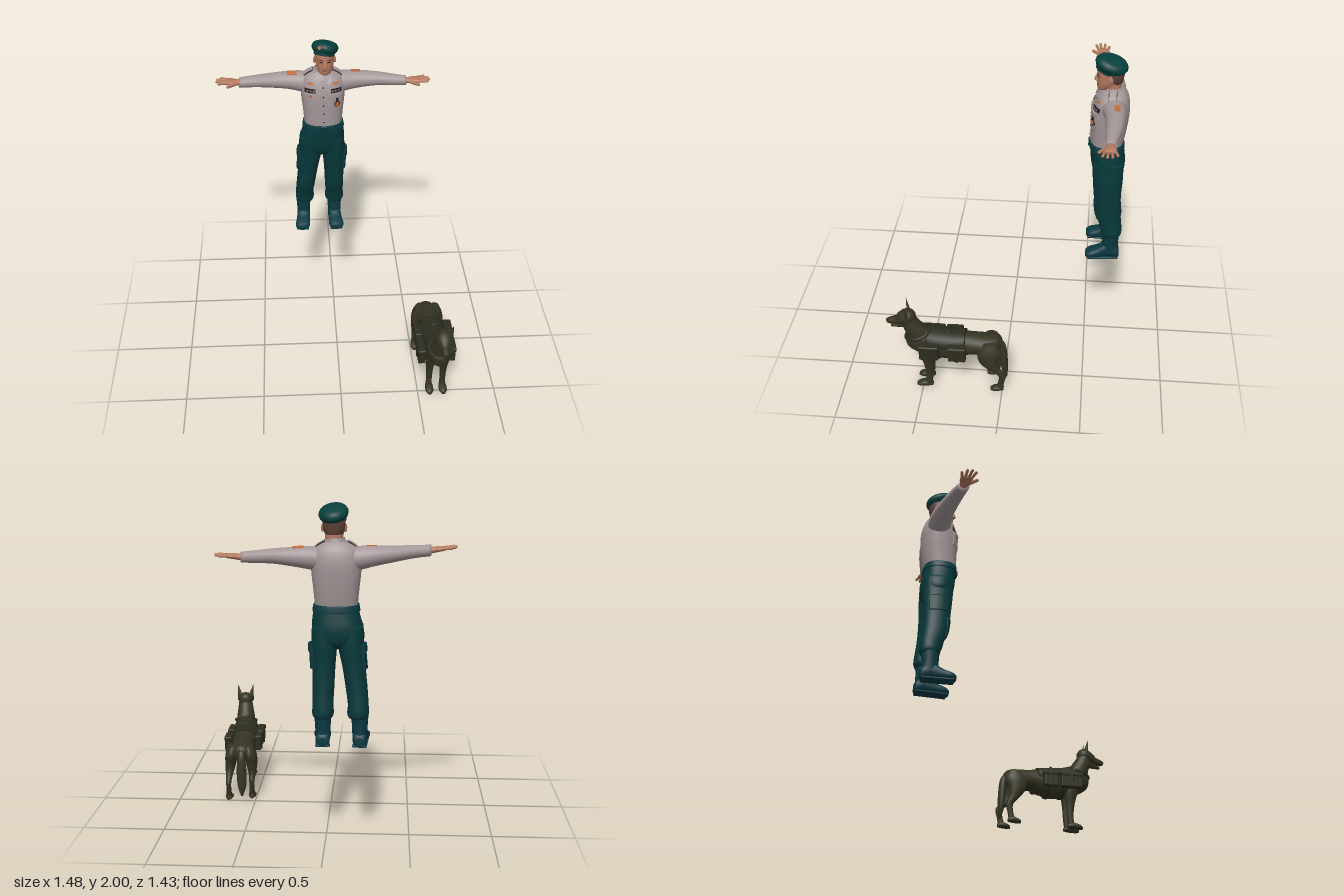
import * as THREE from 'three';
import { RoundedBoxGeometry } from 'three/addons/geometries/RoundedBoxGeometry.js';

const mat = (name, color, side = THREE.FrontSide) => new THREE.MeshStandardMaterial({ name, color, side });
const M = {
  skin: mat('skin', 0xb47a60), shirt: mat('shirt', 0xa39697, THREE.DoubleSide), trousers: mat('trousers', 0x07383a),
  beret: mat('beret', 0x07403d), boots: mat('boots', 0x0b3a42), hair: mat('hair', 0x5a4238),
  orange: mat('orange', 0xc46c3a), dark: mat('dark', 0x2b2426), coat: mat('coat', 0x353422), harness: mat('harness', 0x2d2d20),
};

// Smooth closed body through cross-sections [x, y, z, a, b] stacked along one axis; p is the superellipse power
function loft(rings, axis, p = 2, n = 28, sub = 5) {
  const spline = (a, b, c, d, t) =>
    0.5 * (2 * b + (c - a) * t + (2 * a - 5 * b + 4 * c - d) * t * t + (3 * b - a - 3 * c + d) * t * t * t);
  const rows = [], last = rings.length - 1, pos = [], idx = [];
  for (let i = 0; i < last; i++) {
    const q = [rings[Math.max(i - 1, 0)], rings[i], rings[i + 1], rings[Math.min(i + 2, last)]];
    for (let k = 0; k < sub; k++) rows.push(rings[i].map((_, c) => spline(q[0][c], q[1][c], q[2][c], q[3][c], k / sub)));
  }
  rows.push(rings[last]);
  const pow = (v) => Math.sign(v) * Math.abs(v) ** (2 / p);
  for (const [x, y, z, a, b] of rows)
    for (let j = 0; j < n; j++) {
      const t = (j / n) * Math.PI * 2;
      const u = pow(Math.cos(t)) * Math.max(a, 0.001), v = pow(Math.sin(t)) * Math.max(b, 0.001);
      if (axis === 'y') pos.push(x + u, y, z - v);
      else if (axis === 'z') pos.push(x + u, y + v, z);
      else pos.push(x, y + u, z + v);
    }
  const k = 'xyz'.indexOf(axis), up = rings[last][k] > rings[0][k];
  const tri = (a, b, c) => (up ? idx.push(a, b, c) : idx.push(a, c, b));
  const top = rows.length * n + 1, start = top - 1, end = (rows.length - 1) * n;
  pos.push(...rows[0].slice(0, 3), ...rows[rows.length - 1].slice(0, 3));
  for (let j = 0; j < n; j++) {
    const m = (j + 1) % n;
    for (let i = 0; i < end; i += n) {
      tri(i + j, i + m, i + n + j);
      tri(i + m, i + n + m, i + n + j);
    }
    tri(start, m, j);
    tri(top, end + j, end + m);
  }
  const g = new THREE.BufferGeometry();
  g.setAttribute('position', new THREE.Float32BufferAttribute(pos, 3));
  g.setIndex(idx);
  g.computeVertexNormals();
  return g;
}

function add(group, name, geo, material) {
  const mesh = new THREE.Mesh(geo, material);
  mesh.name = name;
  group.add(mesh);
  return mesh;
}

// Lays a flat piece (facing local +z) onto a body, seen from direction dir
function drape(group, name, target, geo, material, at, dir = [0, 0, 1]) {
  if (dir[1]) geo.rotateX(-Math.PI / 2);
  if (dir[0]) geo.rotateY((dir[0] * Math.PI) / 2);
  geo.translate(...at);
  const d = new THREE.Vector3(...dir), o = new THREE.Vector3(...at), v = new THREE.Vector3();
  const ray = new THREE.Raycaster(), p = geo.attributes.position;
  for (let i = 0; i < p.count; i++) {
    v.fromBufferAttribute(p, i);
    const w = v.clone().sub(o).dot(d);
    ray.set(v.clone().addScaledVector(d, 2), d.clone().negate());
    const hit = ray.intersectObject(target)[0];
    if (hit) v.copy(hit.point).addScaledVector(d, w);
    p.setXYZ(i, v.x, v.y, v.z);
  }
  geo.computeVertexNormals();
  return add(group, name, geo, material);
}
const slab = (w, h, d = 0.009) => new THREE.BoxGeometry(w, h, d, 6, 6, 1);
const disc = (r, d = 0.009) => new THREE.CylinderGeometry(r, r, d, 16).rotateX(Math.PI / 2);

// Rounded rod between two points
function rod(group, name, a, b, r, material) {
  const A = new THREE.Vector3(...a), B = new THREE.Vector3(...b);
  const mesh = add(group, name, new THREE.CapsuleGeometry(r, A.distanceTo(B), 5, 10), material);
  mesh.position.copy(A).add(B).multiplyScalar(0.5);
  mesh.quaternion.setFromUnitVectors(new THREE.Vector3(0, 1, 0), B.sub(A).normalize());
}

function hand(group, s, [x, y, z], rise, drift) {
  const at = (dx, dy, dz) => [x + s * dx, y + dy + (rise * dx) / 0.16, z + dz + (drift * dx) / 0.16];
  add(group, 'palm', loft([
    [...at(-0.02, 0, 0), 0.02, 0.024], [...at(0.02, 0, 0), 0.018, 0.026],
    [...at(0.055, 0, 0), 0.016, 0.037], [...at(0.085, -0.002, 0), 0.012, 0.036], [...at(0.093, -0.002, 0), 0.004, 0.025]], 'x'), M.skin);
  [[-0.028, 0.122], [-0.01, 0.146], [0.009, 0.15], [0.027, 0.137]].forEach(([dz, len]) =>
    rod(group, 'finger', at(0.075, 0, dz), at(len, -0.003, dz * 1.5), 0.0085, M.skin));
  rod(group, 'thumb', at(0.025, -0.003, 0.018), at(0.08, -0.008, 0.062), 0.01, M.skin);
}

function buildOfficer() {
  const g = new THREE.Group();
  g.name = 'officer';
  const cx = -0.063, hx = -0.05;
  // Shirt
  const torso = add(g, 'shirtBody', loft([
    [cx, 1.42, -0.58, 0.122, 0.098], [cx, 1.5, -0.587, 0.128, 0.106], [cx, 1.6, -0.593, 0.139, 0.112], [cx, 1.68, -0.598, 0.143, 0.11],
    [cx, 1.74, -0.602, 0.135, 0.094], [cx, 1.775, -0.602, 0.1, 0.074], [cx, 1.795, -0.6, 0.06, 0.058]], 'y', 2.4, 40), M.shirt);
  const leftSleeve = add(g, 'leftSleeve', loft([
    [-0.02, 1.695, -0.605, 0.07, 0.07], [0.06, 1.7, -0.612, 0.068, 0.07], [0.16, 1.707, -0.62, 0.057, 0.061],
    [0.29, 1.71, -0.614, 0.043, 0.05], [0.38, 1.705, -0.605, 0.037, 0.041], [0.475, 1.7, -0.595, 0.031, 0.031]], 'x'), M.shirt);
  const rightSleeve = add(g, 'rightSleeve', loft([
    [-0.11, 1.695, -0.605, 0.07, 0.07], [-0.19, 1.702, -0.612, 0.068, 0.072], [-0.28, 1.714, -0.612, 0.057, 0.064],
    [-0.4, 1.725, -0.59, 0.045, 0.054], [-0.5, 1.734, -0.565, 0.037, 0.045], [-0.595, 1.738, -0.541, 0.032, 0.036]], 'x'), M.shirt);
  drape(g, 'sleevePatch', leftSleeve, slab(0.06, 0.035), M.orange, [0.15, 1.75, -0.628], [0, 1, 0]);
  drape(g, 'sleevePatch', rightSleeve, slab(0.058, 0.038), M.orange, [-0.26, 1.75, -0.6], [0, 1, 0]);
  hand(g, 1, [0.47, 1.7, -0.595], 0.016, 0.005);
  hand(g, -1, [-0.585, 1.738, -0.543], 0.025, 0.012);
  const collar = add(g, 'collar', new THREE.CylinderGeometry(0.054, 0.068, 0.045, 28, 1, true, 0.4, Math.PI * 2 - 0.8), M.shirt);
  collar.position.set(cx + 0.006, 1.792, -0.595);
  drape(g, 'placket', torso, slab(0.026, 0.31, 0.008), M.shirt, [cx, 1.595, -0.5]);
  for (let i = 0; i < 5; i++) drape(g, 'button', torso, disc(0.005, 0.014), M.dark, [cx, 1.47 + i * 0.06, -0.5]);
  for (const s of [-1, 1]) {
    const px = cx + s * 0.08;
    drape(g, 'chestPocket', torso, slab(0.075, 0.085, 0.014), M.shirt, [px, 1.615, -0.5]);
    drape(g, 'pocketFlap', torso, slab(0.08, 0.03, 0.022), M.shirt, [px, 1.65, -0.5]);
    drape(g, 'ribbonBar', torso, slab(0.07, 0.026, 0.009), M.dark, [px + s * 0.004, 1.687, -0.5]);
    for (const r of [-1, 0, 1]) drape(g, 'ribbonStripe', torso, slab(0.01, 0.006, 0.014), M.shirt, [px + r * 0.02, 1.687, -0.5]);
    drape(g, 'nameTag', torso, slab(0.038, 0.012), M.orange, [px, 1.732, -0.5]);
    drape(g, 'epauletteTrim', torso, slab(0.064, 0.05, 0.014), M.dark, [cx + s * 0.095, 1.77, -0.6], [0, 1, 0]);
    drape(g, 'epaulette', torso, slab(0.058, 0.043, 0.022), M.shirt, [cx + s * 0.095, 1.77, -0.6], [0, 1, 0]);
    const lapel = new THREE.Shape([[0, 0.03], [s * 0.05, 0.03], [s * 0.055, -0.005], [s * 0.03, -0.025]].map((q) => new THREE.Vector2(...q)));
    drape(g, 'lapel', torso, new THREE.ExtrudeGeometry(lapel, { depth: 0.01, bevelEnabled: false }), M.shirt, [cx, 1.757, -0.5]);
  }
  drape(g, 'medalRibbon', torso, slab(0.016, 0.03, 0.026), M.dark, [0.025, 1.625, -0.5]);
  drape(g, 'medal', torso, disc(0.019, 0.028), M.dark, [0.025, 1.597, -0.5]);
  drape(g, 'medalFace', torso, disc(0.014, 0.034), M.orange, [0.025, 1.597, -0.5]);
  drape(g, 'smallMedal', torso, disc(0.009, 0.028), M.orange, [-0.145, 1.655, -0.5]);

  // Head
  add(g, 'neck', loft([[hx, 1.73, -0.6, 0.056, 0.056], [hx, 1.78, -0.597, 0.05, 0.052], [hx, 1.85, -0.592, 0.05, 0.055]], 'y'), M.skin);
  const head = add(g, 'head', loft([
    [hx, 1.785, -0.54, 0.018, 0.02], [hx, 1.797, -0.55, 0.037, 0.043], [hx, 1.83, -0.567, 0.053, 0.063], [hx, 1.87, -0.58, 0.06, 0.076],
    [hx, 1.91, -0.583, 0.062, 0.079], [hx, 1.95, -0.583, 0.056, 0.07], [hx, 1.975, -0.583, 0.03, 0.04]], 'y', 2.2), M.skin);
  add(g, 'hair', loft([[hx, 1.835, -0.612, 0.044, 0.042], [hx, 1.86, -0.606, 0.06, 0.054], [hx, 1.9, -0.602, 0.064, 0.062],
    [hx, 1.94, -0.602, 0.06, 0.058]], 'y'), M.hair);
  add(g, 'nose', loft([[hx, 1.885, -0.508, 0.008, 0.008], [hx, 1.86, -0.502, 0.01, 0.014], [hx, 1.848, -0.501, 0.015, 0.014],
    [hx, 1.842, -0.505, 0.008, 0.008]], 'y', 2, 12), M.skin);
  drape(g, 'mouth', head, slab(0.042, 0.005, 0.004), M.hair, [hx, 1.825, -0.5]);
  for (const s of [-1, 1]) {
    drape(g, 'eye', head, slab(0.018, 0.007, 0.004), M.dark, [hx + s * 0.026, 1.88, -0.5]);
    drape(g, 'eyebrow', head, slab(0.026, 0.005, 0.008), M.hair, [hx + s * 0.027, 1.895, -0.5]);
    const ear = add(g, 'ear', new THREE.SphereGeometry(1, 14, 10), M.skin);
    ear.scale.set(0.008, 0.024, 0.015);
    ear.position.set(hx + s * 0.064, 1.867, -0.585);
    ear.rotation.y = s * 0.4;
  }
  // Beret, tipped back and to one side
  const beret = new THREE.Group();
  beret.name = 'beret';
  beret.position.set(-0.047, 1.948, -0.585);
  beret.rotation.set(0.3, 0, -0.14);
  add(beret, 'beretCrown', loft([[0, -0.032, 0, 0.066, 0.082], [0, -0.018, 0, 0.078, 0.094], [0, 0.005, 0, 0.085, 0.1],
    [0, 0.03, 0, 0.07, 0.084], [0, 0.042, 0, 0.035, 0.045]], 'y'), M.beret);
  add(beret, 'beretBand', loft([[0, -0.045, 0.002, 0.066, 0.081], [0, -0.02, 0.002, 0.067, 0.083]], 'y'), M.beret);
  // front edge lifted
  beret.rotation.x = -0.3;
  const badge = add(beret, 'beretBadge', disc(0.011, 0.008), M.orange);
  badge.position.set(-0.038, 0.004, 0.09);
  badge.rotation.y = -0.4;
  g.add(beret);

  // Trousers, belt and boots
  add(g, 'trouserSeat', loft([[cx, 1.44, -0.58, 0.123, 0.099], [cx, 1.38, -0.586, 0.134, 0.103], [cx - 0.008, 1.3, -0.595, 0.148, 0.105],
    [cx - 0.012, 1.23, -0.6, 0.145, 0.092], [cx - 0.014, 1.19, -0.6, 0.09, 0.06]], 'y', 2.4, 40), M.trousers);
  add(g, 'belt', loft([[cx, 1.398, -0.583, 0.134, 0.106], [cx, 1.402, -0.583, 0.137, 0.108], [cx, 1.434, -0.581, 0.131, 0.106],
    [cx, 1.438, -0.581, 0.127, 0.102]], 'y', 2.4, 40), M.boots);
  const buckle = add(g, 'buckle', new RoundedBoxGeometry(0.05, 0.036, 0.012, 2, 0.004), M.trousers);
  buckle.position.set(cx, 1.418, -0.475);
  for (const [s, hip, knee, foot] of [[1, 0.006, 0.01, 0.012], [-1, -0.148, -0.182, -0.202]]) {
    const mid = (hip + knee) / 2, low = (knee + foot) / 2;
    const leg = add(g, 'trouserLeg', loft([[hip, 1.32, -0.595, 0.07, 0.095], [hip, 1.2, -0.6, 0.074, 0.093], [mid, 1.08, -0.603, 0.067, 0.085],
      [knee, 0.95, -0.613, 0.063, 0.08], [low, 0.86, -0.634, 0.06, 0.069], [low, 0.81, -0.641, 0.063, 0.065],
      [low, 0.785, -0.641, 0.055, 0.058], [low, 0.775, -0.64, 0.04, 0.045]], 'y', 2.2), M.trousers);
    drape(g, 'cargoPocket', leg, slab(0.105, 0.13, 0.026), M.trousers, [mid, 1.135, -0.605], [s, 0, 0]);
    drape(g, 'cargoFlap', leg, slab(0.112, 0.04, 0.038), M.trousers, [mid, 1.19, -0.605], [s, 0, 0]);
    drape(g, 'kneePatch', leg, slab(0.08, 0.12, 0.01), M.trousers, [knee, 0.97, -0.55]);
    add(g, 'bootShaft', loft([[foot, 0.8, -0.64, 0.05, 0.054], [foot, 0.72, -0.638, 0.045, 0.052], [foot, 0.65, -0.64, 0.042, 0.054]], 'y'), M.boots);
    add(g, 'bootFoot', loft([[foot, 0.645, -0.698, 0.026, 0.026], [foot, 0.658, -0.68, 0.04, 0.04], [foot, 0.67, -0.62, 0.043, 0.052],
      [foot + s * 0.005, 0.652, -0.56, 0.047, 0.036], [foot + s * 0.01, 0.642, -0.51, 0.049, 0.027],
      [foot + s * 0.012, 0.637, -0.483, 0.03, 0.018]], 'z', 2.4), M.boots);
    const sole = add(g, 'bootSole', new RoundedBoxGeometry(0.084, 0.014, 0.2, 2, 0.006), M.boots);
    sole.position.set(foot + s * 0.005, 0.619, -0.592);
    sole.rotation.y = s * 0.06;
  }
  return g;
}

function buildDog() {
  const g = new THREE.Group();
  g.name = 'dog';
  const hx = 0.633;
  const body = [[0.59, 0.32, 0.008, 0.025, 0.025], [0.593, 0.315, 0.035, 0.058, 0.055], [0.597, 0.313, 0.1, 0.077, 0.065], [0.6, 0.315, 0.2, 0.073, 0.073],
    [0.605, 0.304, 0.3, 0.08, 0.096], [0.61, 0.312, 0.4, 0.082, 0.101], [0.616, 0.333, 0.48, 0.077, 0.1],
    [0.62, 0.345, 0.55, 0.062, 0.082], [0.622, 0.345, 0.588, 0.04, 0.052], [0.622, 0.345, 0.602, 0.015, 0.02]];
  add(g, 'body', loft(body, 'z'), M.coat);
  add(g, 'neckRuff', loft([[0.62, 0.33, 0.5, 0.066, 0.09], [0.625, 0.41, 0.527, 0.062, 0.075], [0.63, 0.47, 0.56, 0.053, 0.06],
    [hx, 0.53, 0.585, 0.043, 0.043]], 'y'), M.coat);
  // Head, jaw, nose and ears
  add(g, 'head', loft([[hx, 0.53, 0.535, 0.02, 0.02], [hx, 0.532, 0.555, 0.042, 0.04], [hx, 0.53, 0.59, 0.052, 0.047], [hx, 0.516, 0.63, 0.042, 0.04],
    [hx, 0.5, 0.655, 0.028, 0.029], [hx, 0.491, 0.69, 0.022, 0.023], [hx, 0.488, 0.713, 0.014, 0.014]], 'z'), M.coat);
  add(g, 'lowerJaw', loft([[hx, 0.475, 0.61, 0.03, 0.025], [hx, 0.46, 0.65, 0.02, 0.014], [hx, 0.452, 0.688, 0.012, 0.007]], 'z'), M.coat);
  const nose = add(g, 'nose', new THREE.SphereGeometry(0.011, 12, 8), M.dark);
  nose.position.set(hx, 0.492, 0.709);
  add(g, 'tail', loft([[0.59, 0.345, 0.035, 0.02, 0.02], [0.589, 0.3, 0.008, 0.026, 0.024], [0.587, 0.2, -0.004, 0.032, 0.024],
    [0.585, 0.11, -0.01, 0.028, 0.02], [0.585, 0.04, -0.018, 0.007, 0.007]], 'y'), M.coat);
  for (const s of [-1, 1]) {
    const ear = add(g, 'ear', new THREE.ConeGeometry(0.026, 0.11, 14).scale(1, 1, 0.55), M.coat);
    ear.position.set(hx + s * 0.043, 0.58, 0.588);
    ear.rotation.set(0.1, -s * 0.4, -s * 0.2);
    const eye = add(g, 'eye', new THREE.SphereGeometry(0.007, 10, 8), M.dark);
    eye.position.set(hx + s * 0.029, 0.526, 0.642);
    // Legs and paws
    const fx = 0.621 + s * 0.044, bx = 0.6 + s * 0.074, dz = s > 0 ? -0.035 : 0;
    add(g, 'frontLeg', loft([[fx, 0.35, 0.46, 0.035, 0.06], [fx, 0.25, 0.465, 0.034, 0.046], [fx, 0.17, 0.46, 0.023, 0.03], [fx, 0.08, 0.458, 0.019, 0.022],
      [fx, 0.02, 0.468, 0.021, 0.024]], 'y', 2, 20), M.coat);
    add(g, 'frontPaw', loft([[fx, 0.018, 0.438, 0.014, 0.012], [fx, 0.023, 0.47, 0.024, 0.022], [fx, 0.018, 0.515, 0.026, 0.018],
      [fx, 0.012, 0.54, 0.014, 0.01]], 'z', 2, 20), M.coat);
    add(g, 'hindLeg', loft([[bx - s * 0.025, 0.36, 0.075, 0.03, 0.04], [bx - s * 0.012, 0.3, 0.08, 0.04, 0.072], [bx - s * 0.004, 0.23, 0.085, 0.036, 0.058],
      [bx, 0.175, 0.066 + dz / 2, 0.025, 0.036], [bx, 0.125, 0.035 + dz, 0.017, 0.024], [bx, 0.07, 0.04 + dz, 0.016, 0.019],
      [bx, 0.02, 0.052 + dz, 0.02, 0.022]], 'y', 2, 20), M.coat);
    add(g, 'hindPaw', loft([[bx, 0.018, 0.025 + dz, 0.014, 0.012], [bx, 0.022, 0.05 + dz, 0.023, 0.02], [bx, 0.017, 0.085 + dz, 0.025, 0.017],
      [bx, 0.012, 0.108 + dz, 0.013, 0.01]], 'z', 2, 20), M.coat);
    // Saddle packs
    for (const [z, len] of s > 0 ? [[0.275, 0.11], [0.45, 0.12]] : [[0.31, 0.1], [0.45, 0.15]]) {
      const x = 0.61 + s * 0.097;
      const part = (name, w, h, d, y) =>
        add(g, name, new RoundedBoxGeometry(w, h, d, 3, 0.01), M.harness).position.set(x, y, z);
      part('pack', 0.045, 0.1, len, 0.31);
      part('packFlap', 0.054, 0.032, len + 0.006, 0.35);
      part('packStrap', 0.056, 0.106, 0.015, 0.31);
    }
  }
  // Harness: vest, girth straps, collar and grab handle
  const grown = (r, k) => [r[0], r[1], r[2], r[3] + k, r[4] + k];
  add(g, 'vest', loft([[0.602, 0.345, 0.23, 0.076, 0.058], [0.605, 0.34, 0.3, 0.084, 0.067], [0.61, 0.347, 0.4, 0.086, 0.072],
    [0.615, 0.362, 0.47, 0.081, 0.076]], 'z'), M.harness);
  for (const i of [4, 5, 6]) {
    const r = body[i];
    add(g, 'girthStrap', loft([-0.014, -0.011, 0.011, 0.014].map((dz, k) =>
      grown([r[0], r[1], r[2] + dz, r[3], r[4]], k % 3 ? 0.007 : 0.001)), 'z'), M.harness);
  }
  const band = add(g, 'chestStrap', new THREE.TorusGeometry(0.069, 0.011, 8, 28), M.harness);
  band.position.set(0.624, 0.395, 0.525);
  band.scale.y = 1.15;
  band.rotation.x = Math.PI / 2 + 0.35;
  const handle = add(g, 'grabHandle', new THREE.TorusGeometry(0.022, 0.006, 8, 16, Math.PI), M.harness);
  handle.position.set(0.607, 0.398, 0.335);
  return g;
}

export function createModel() {
  const model = new THREE.Group();
  model.name = 'officerAndDog';
  model.add(buildOfficer(), buildDog());
  return model;
}
